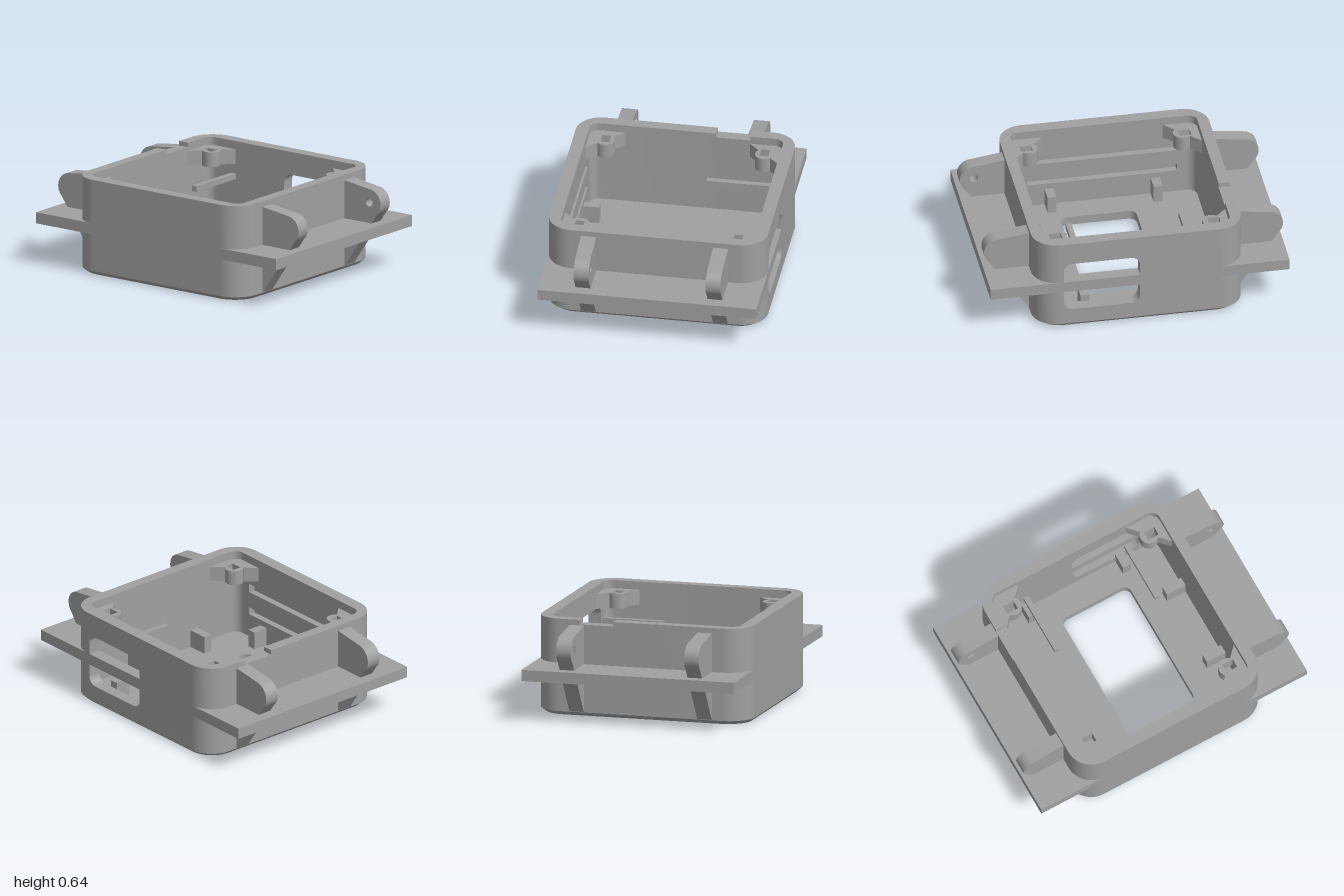
import * as THREE from 'three';
import { toCreasedNormals } from 'three/addons/utils/BufferGeometryUtils.js';

const X = 0.73, Z = 0.70, H = 0.645, R = 0.17;       // outer shell
const IX = 0.645, IZ = 0.625, IR = 0.06;             // cavity
const FLOOR = 0.06, FLAT = Z - R;

// Rounded rectangle; r may be one radius or [bottom, top]
function roundRect(x0, y0, x1, y1, r, type = THREE.Shape) {
  const [b, t] = Array.isArray(r) ? r : [r, r];
  const s = new type();
  s.moveTo(x0 + b, y0).lineTo(x1 - b, y0);
  if (b) s.absarc(x1 - b, y0 + b, b, -Math.PI / 2, 0);
  s.lineTo(x1, y1 - t);
  if (t) s.absarc(x1 - t, y1 - t, t, 0, Math.PI / 2);
  s.lineTo(x0 + t, y1);
  if (t) s.absarc(x0 + t, y1 - t, t, Math.PI / 2, Math.PI);
  s.lineTo(x0, y0 + b);
  if (b) s.absarc(x0 + b, y0 + b, b, Math.PI, Math.PI * 1.5);
  return s;
}

// Mirrored copy of a shape and its holes
function flip(shape, sx, sy) {
  const map = (p) => p.getPoints(10).map((v) => new THREE.Vector2(v.x * sx, v.y * sy));
  const out = new THREE.Shape(map(shape));
  out.holes = shape.holes.map((h) => new THREE.Path(map(h)));
  return out;
}

const extrude = (shape, depth) =>
  new THREE.ExtrudeGeometry(shape, { depth, bevelEnabled: false, curveSegments: 10 });

// Shape in (x, z), standing from y0 to y1
const slab = (shape, y0, y1) =>
  toCreasedNormals(extrude(shape, y1 - y0).rotateX(Math.PI / 2).translate(0, y1, 0), 0.5);

// Shape in (z, y), reaching from x0 to x1
const sidePlate = (shape, x0, x1) =>
  toCreasedNormals(extrude(shape, x1 - x0).rotateY(-Math.PI / 2).translate(x1, 0, 0), 0.5);

// Corner of the wall with its half of the end wall, stopping at x = cut
function cornerShape(cut) {
  const s = new THREE.Shape();
  s.moveTo(cut, Z).lineTo(X - R, Z);
  s.absarc(X - R, FLAT, R, Math.PI / 2, 0, true);
  s.lineTo(IX, FLAT).lineTo(IX, IZ - IR);
  s.absarc(IX - IR, IZ - IR, IR, 0, Math.PI / 2);
  s.lineTo(cut, IZ);
  return s;
}

export function createModel() {
  const group = new THREE.Group();
  const grey = new THREE.MeshStandardMaterial({ color: 0xa0a0a0 });
  const add = (name, geometry) => {
    const mesh = new THREE.Mesh(geometry, grey);
    mesh.name = name;
    group.add(mesh);
  };
  const box = (name, x0, x1, y0, y1, z0, z1) => add(name,
    new THREE.BoxGeometry(x1 - x0, y1 - y0, z1 - z0)
      .translate((x0 + x1) / 2, (y0 + y1) / 2, (z0 + z1) / 2));

  // Floor with a rectangular opening and a chamfered lower edge
  const floor = roundRect(-X, -Z, X, Z, R);
  floor.holes.push(roundRect(-0.465, -0.19, 0.46, 0.315, 0.05, THREE.Path));
  add('floor', slab(floor, 0.025, FLOOR));
  const chamfer = extrude(floor, 0.025).rotateX(Math.PI / 2).translate(0, 0.025, 0);
  const p = chamfer.attributes.position;
  for (let i = 0; i < p.count; i++) {
    const x = p.getX(i), z = p.getZ(i);
    if (p.getY(i) < 0.01 && (Math.abs(x) > 0.5 || Math.abs(z) > 0.5)) {
      p.setX(i, x * (X - 0.025) / X);
      p.setZ(i, z * (Z - 0.025) / Z);
    }
  }
  add('floorChamfer', toCreasedNormals(chamfer, 0.5));

  // End walls; the back rim has a shallow notch
  for (const sx of [-1, 1]) {
    add('frontWall', slab(flip(cornerShape(0), sx, 1), FLOOR, H));
    add('backWall', slab(flip(cornerShape(0), sx, -1), FLOOR, 0.615));
    add('backRim', slab(flip(cornerShape(sx > 0 ? 0.42 : -0.19), sx, -1), 0.615, H));
  }

  // Left wall with two windows separated by a bar
  const windowWall = roundRect(-FLAT, FLOOR, FLAT, H, 0);
  windowWall.holes.push(
    roundRect(0, 0.135, 0.51, 0.275, [0.06, 0], THREE.Path),
    roundRect(0, 0.35, 0.51, 0.49, [0, 0.06], THREE.Path));
  add('windowWall', sidePlate(windowWall, IX, X));

  // Right wall: closed skin, with grooves on its inner face
  const grooved = roundRect(-FLAT, FLOOR, FLAT, H, 0);
  grooved.holes.push(
    roundRect(-0.5, 0.22, 0.5, 0.27, 0, THREE.Path),
    roundRect(-0.5, 0.38, 0.5, 0.44, 0, THREE.Path));
  add('closedWallSkin', sidePlate(roundRect(-FLAT, FLOOR, FLAT, H, 0), -X, -0.69));
  add('groovedLining', sidePlate(grooved, -0.69, -IX));

  // Mounting flange that wraps the rounded corners
  const flange = new THREE.Shape();
  flange.moveTo(-X, 1).lineTo(X, 1).lineTo(X, FLAT);
  flange.absarc(X - R, FLAT, R, 0, Math.PI / 2);
  flange.lineTo(-X + R, Z);
  flange.absarc(-X + R, FLAT, R, Math.PI / 2, Math.PI);

  // Lug with a gusset tapering to the bottom of the wall
  const lug = new THREE.Shape();
  lug.moveTo(0.69, 0.03).lineTo(0.705, 0.03).lineTo(0.976, 0.425);
  lug.setFromPoints([new THREE.Vector2(0.69, 0.03), new THREE.Vector2(0.705, 0.03),
    new THREE.Vector2(0.972, 0.42)]);
  lug.absarc(0.905, 0.485, 0.095, -0.72, 1.42);
  lug.lineTo(0.69, 0.61);
  const drilled = lug.clone();
  const hole = new THREE.Path();
  hole.absarc(0.905, 0.49, 0.028, 0, Math.PI * 2);
  drilled.holes.push(hole);

  // Corner gusset with a round boss and a square pocket
  const gusset = new THREE.Shape();
  gusset.moveTo(0.65, 0.40).lineTo(0.575, 0.472);
  gusset.absarc(0.53, 0.515, 0.062, -0.76, -3.9, true);
  gusset.lineTo(0.41, 0.63).lineTo(0.60, 0.63).lineTo(0.65, 0.58);
  gusset.holes.push(roundRect(0.5, 0.49, 0.56, 0.57, 0, THREE.Path));

  for (const sz of [-1, 1]) {
    add('flange', slab(flip(flange, 1, sz), 0.275, 0.35));
    // Each hole is blind and opens towards the middle
    const solid = flip(lug, sz, 1), open = flip(drilled, sz, 1);
    add('leftLugCap', sidePlate(solid, 0.46, 0.49));
    add('leftLug', sidePlate(open, 0.39, 0.46));
    add('rightLugCap', sidePlate(solid, -0.49, -0.46));
    add('rightLug', sidePlate(open, -0.46, -0.39));
    for (const sx of [-1, 1]) {
      add('cornerGusset', slab(flip(gusset, sx, sz), 0.49, 0.59));
      // Board supports standing on the floor by the side walls
      const cx = sx * 0.595, cz = sz * 0.355;
      box('boardSupport', cx - 0.055, cx + 0.055, FLOOR, 0.18, cz - 0.03, cz + 0.03);
    }
    // Slim retaining rails near the window wall
    box('rail', 0.17, 0.59, 0.405, 0.443, sz * 0.378 - 0.019, sz * 0.378 + 0.019);
  }

  // Two stops against the front wall
  for (const x of [-0.275, 0.265]) box('frontStop', x - 0.03, x + 0.03, FLOOR, 0.18, 0.485, 0.63);

  return group;
}
